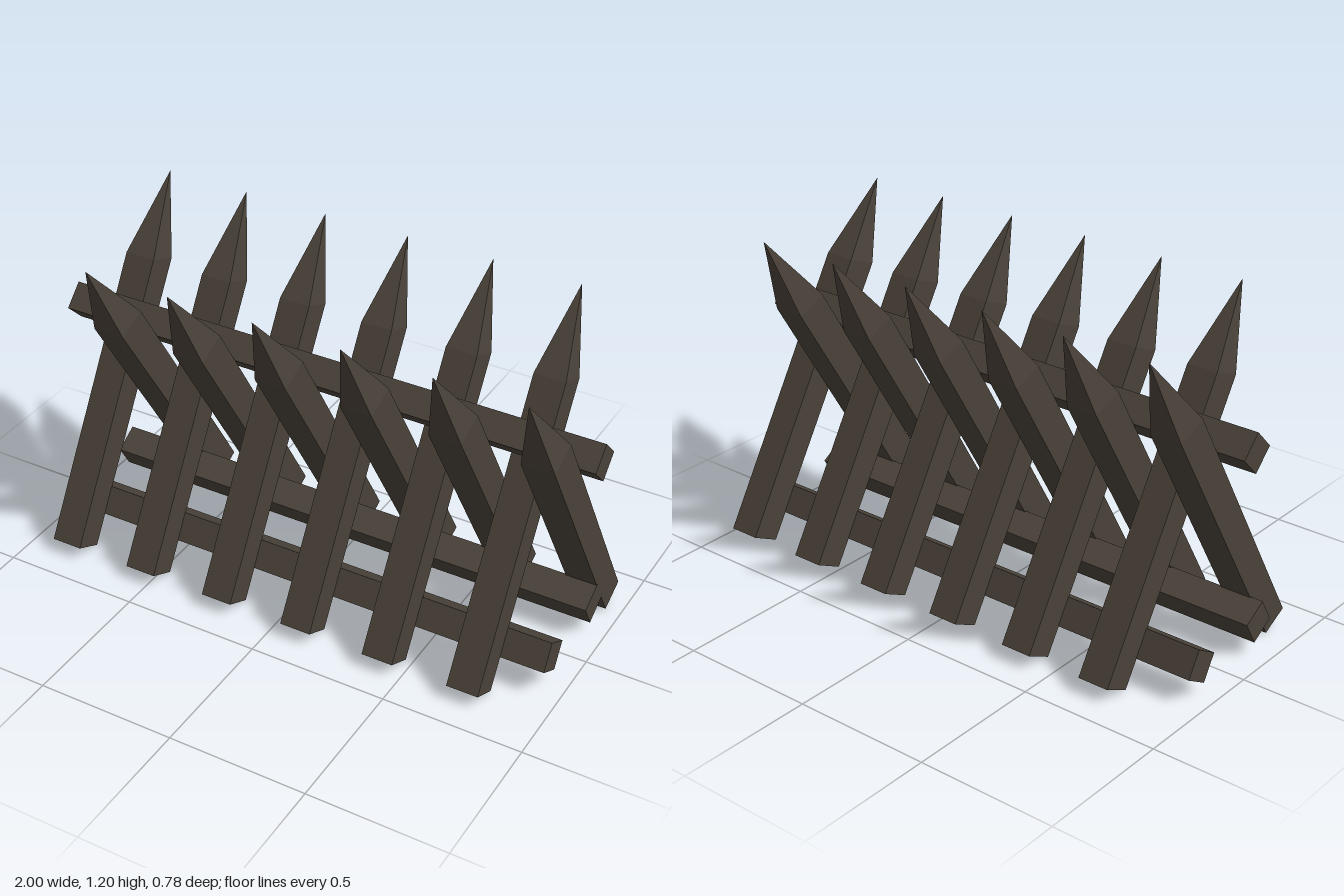
import * as THREE from 'three';

const wood = new THREE.MeshStandardMaterial({ color: 0x4a4239, flatShading: true });
wood.name = 'dark weathered wood';

// Square stake leaning back, cut flat at the foot and sharpened to a point
function stakeGeometry() {
  const w = 0.057;
  const ring = ([zo, yo], [zu, yu]) => [[w, yo, zo], [-w, yo, zo], [-w, yu, zu], [w, yu, zu]];
  const foot = ring([0.39, 0.05], [0.29, 0]);
  const shoulder = ring([-0.155, 0.955], [-0.265, 0.91]);
  const tip = [0, 1.195, -0.365];
  const tris = [foot[0], foot[1], foot[2], foot[0], foot[2], foot[3]];
  for (let a = 0; a < 4; a++) {
    const b = (a + 1) % 4;
    tris.push(foot[b], foot[a], shoulder[a], foot[b], shoulder[a], shoulder[b]);
    tris.push(shoulder[b], shoulder[a], tip);
  }
  const g = new THREE.BufferGeometry();
  g.setAttribute('position', new THREE.Float32BufferAttribute(tris.flat(), 3));
  g.computeVertexNormals();
  return g;
}

export function createModel() {
  const model = new THREE.Group();
  model.name = 'spikedBarricade';

  // Two crossed rows of stakes, alternating along the length
  const stake = stakeGeometry();
  const rows = { frontFootedStake: [-0.842, 0], backFootedStake: [-0.685, Math.PI] };
  for (const [name, [start, turn]] of Object.entries(rows)) {
    for (let i = 0; i < 6; i++) {
      const m = new THREE.Mesh(stake, wood);
      m.name = name;
      m.position.x = start + i * 0.3145;
      m.rotation.y = turn;
      model.add(m);
    }
  }

  // Square rails: one resting in the crossing, two along the feet
  const rail = (name, length, side, y, z, tilt) => {
    const m = new THREE.Mesh(new THREE.BoxGeometry(length, side, side), wood);
    m.name = name;
    m.position.set(0, y, z);
    m.rotation.x = tilt;
    model.add(m);
  };
  rail('topRail', 2, 0.1, 0.813, 0, Math.PI / 4);
  rail('frontFootRail', 1.89, 0.102, 0.12, 0.161, -0.53);
  rail('backFootRail', 1.89, 0.102, 0.11, -0.167, 0.53);

  return model;
}
